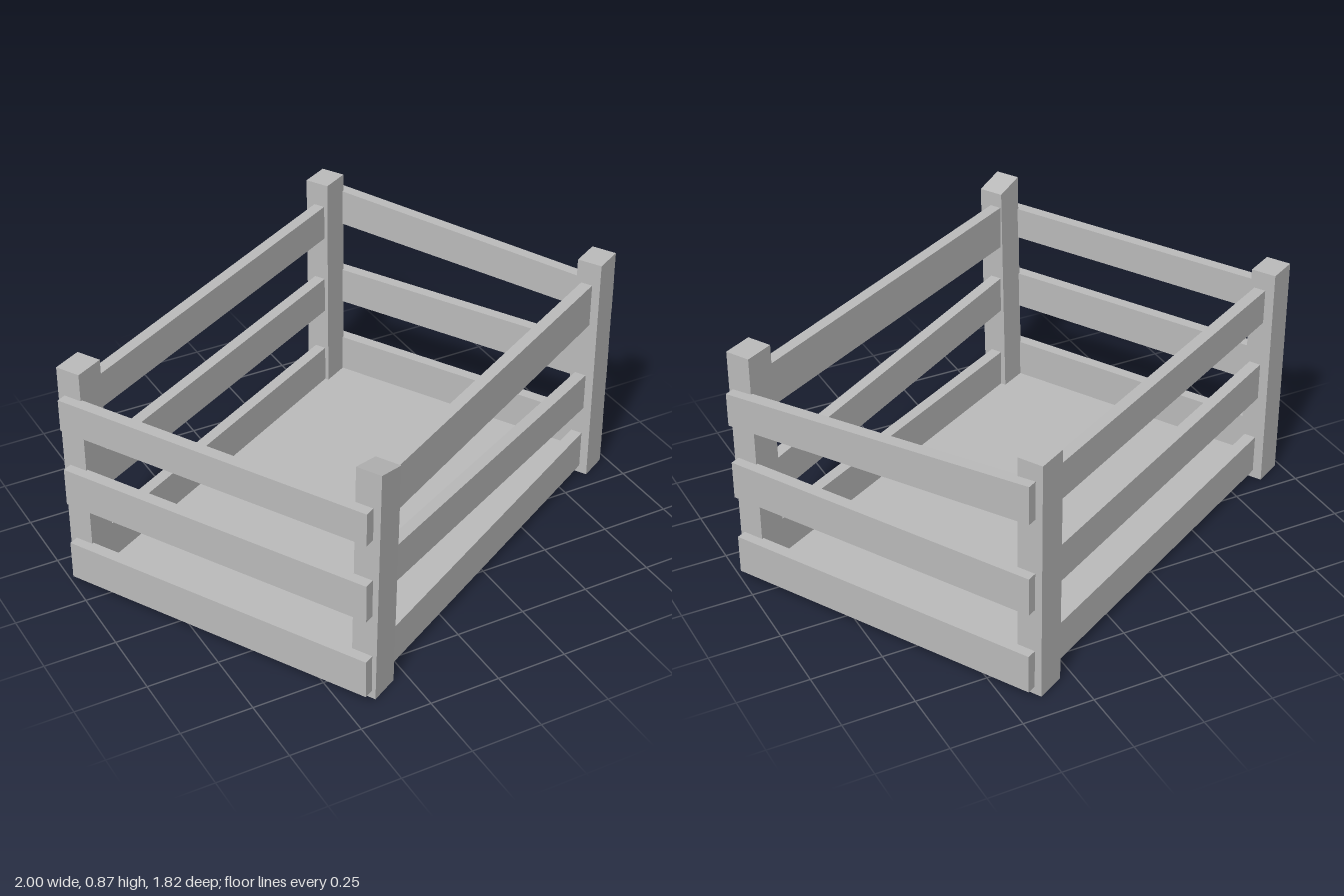
import * as THREE from 'three';

export function createModel() {
  const model = new THREE.Group();
  const crate = new THREE.Group();
  crate.name = 'crate';
  crate.rotation.y = 0.51; // the crate stands turned on its base
  model.add(crate);

  const wood = new THREE.MeshStandardMaterial({ color: 0xbbbbbb });
  wood.name = 'plain grey';

  function add(name, geometry, x, y, z) {
    const mesh = new THREE.Mesh(geometry, wood);
    mesh.name = name;
    mesh.position.set(x, y, z);
    crate.add(mesh);
    return mesh;
  }

  // Corner post: lean shifts the top along z, slope drops the +x edge of the top
  function post(name, x, z, height, lean = 0, slope = 0) {
    const g = new THREE.BoxGeometry(0.11, height, 0.09).translate(0, height / 2, 0);
    const p = g.attributes.position;
    for (let i = 0; i < p.count; i++) {
      if (p.getY(i) < 0.01) continue;
      p.setZ(i, p.getZ(i) + lean);
      if (p.getX(i) > 0) p.setY(i, height - slope);
    }
    g.computeVertexNormals();
    add(name, g, x, 0, z);
  }

  post('frontLeftCornerPost', -0.728, 0.548, 0.865, 0.016, 0.027);
  post('frontRightCornerPost', 0.73, 0.55, 0.865);
  post('backRightCornerPost', 0.73, -0.56, 0.865);
  post('backLeftCornerPost', -0.73, -0.56, 0.835);

  // Board with its own bottom and top heights at each end, so it may tilt or taper
  function board(name, length, startLow, startHigh, endLow, endHigh, alongZ, offset) {
    const g = new THREE.BoxGeometry(length, 1, 0.042);
    const p = g.attributes.position;
    for (let i = 0; i < p.count; i++) {
      const start = p.getX(i) < 0;
      const top = p.getY(i) > 0;
      p.setY(i, start ? (top ? startHigh : startLow) : (top ? endHigh : endLow));
    }
    if (alongZ) g.rotateY(-Math.PI / 2);
    g.computeVertexNormals();
    add(name, g, alongZ ? offset : 0, 0, alongZ ? 0 : offset);
  }

  // Each row: low and high edge at the start, then at the end (-x to +x, or -z to +z)
  const sides = [
    { name: 'front', alongZ: false, offset: 0.544, rows: [
      [0.03, 0.17, 0.03, 0.17], [0.357, 0.495, 0.272, 0.41], [0.622, 0.784, 0.622, 0.78]] },
    { name: 'back', alongZ: false, offset: -0.55, rows: [
      [0.03, 0.17, 0.03, 0.17], [0.335, 0.473, 0.335, 0.473], [0.642, 0.768, 0.645, 0.777]] },
    { name: 'left', alongZ: true, offset: -0.799, rows: [
      [0.03, 0.17, 0.03, 0.17], [0.33, 0.467, 0.33, 0.467], [0.62, 0.737, 0.62, 0.737]] },
    { name: 'right', alongZ: true, offset: 0.799, rows: [
      [0.03, 0.17, 0.03, 0.17], [0.33, 0.467, 0.33, 0.467], [0.667, 0.803, 0.61, 0.73]] },
  ];
  const levels = ['Lower', 'Middle', 'Upper'];
  for (const s of sides) {
    s.rows.forEach((r, i) =>
      board(s.name + levels[i] + 'Board', s.alongZ ? 1.16 : 1.53, ...r, s.alongZ, s.offset));
  }

  // Thin floor under the lowest boards
  add('floor', new THREE.BoxGeometry(1.57, 0.016, 1.12), 0, 0.023, -0.003);

  return model;
}
